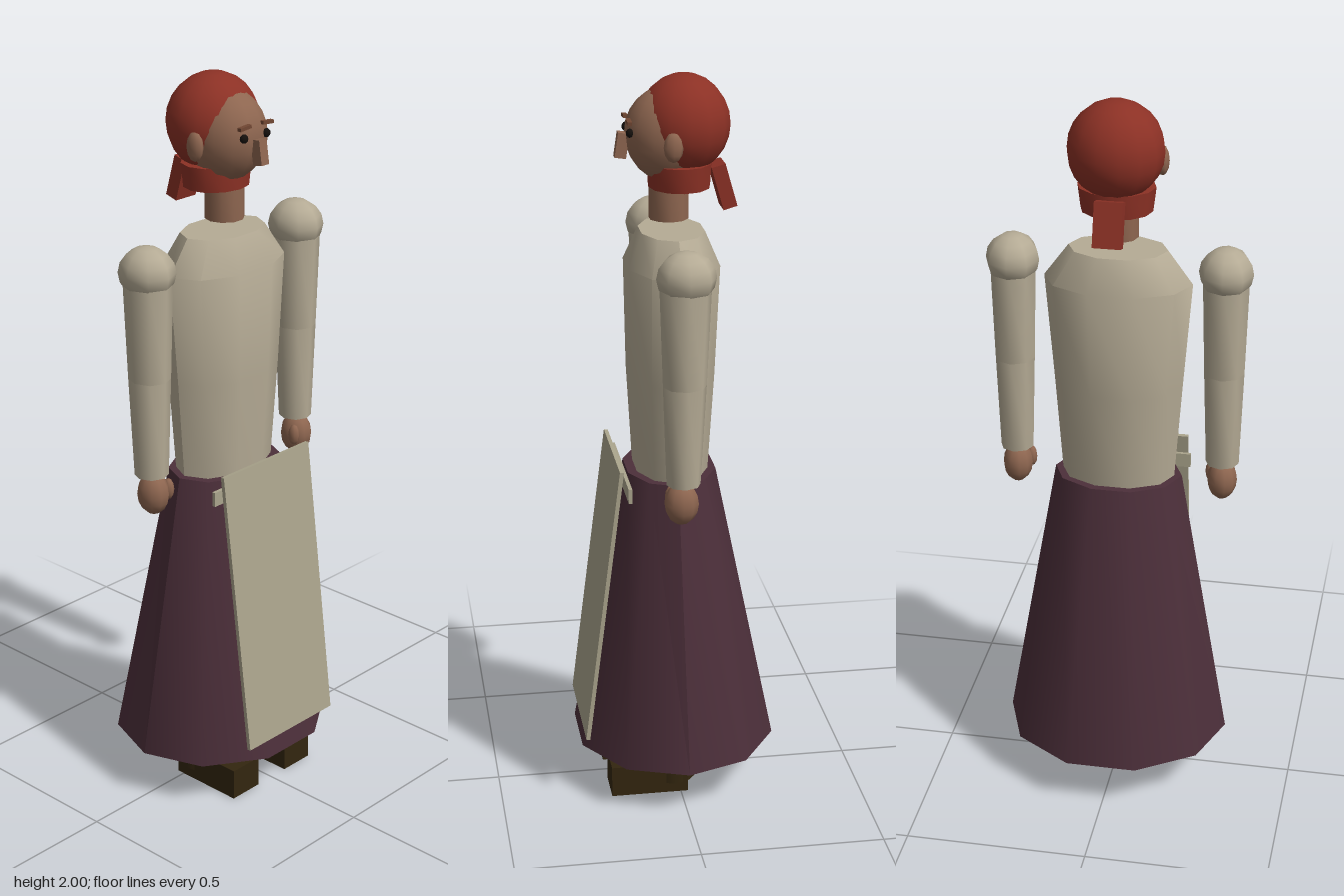
import * as THREE from 'three';
import { toCreasedNormals } from 'three/addons/utils/BufferGeometryUtils.js';

const paint = (name, color) => {
  const m = new THREE.MeshStandardMaterial({ color });
  m.name = name;
  return m;
};

// Stacked elliptical rings [y, radiusX, radiusZ, centreZ], closed at both ends
function rings(levels, sides, crease = 0.75) {
  const points = [new THREE.Vector2(0, 0), ...levels.map((_, i) => new THREE.Vector2(1, i)),
    new THREE.Vector2(0, levels.length - 1)];
  const geo = new THREE.LatheGeometry(points, sides, Math.PI / 2);
  const p = geo.attributes.position;
  for (let i = 0; i < p.count; i++) {
    const [y, rx, rz, cz = 0] = levels[Math.round(p.getY(i))];
    p.setXYZ(i, p.getX(i) * rx, y, p.getZ(i) * rz + cz);
  }
  return toCreasedNormals(geo, crease);
}

const ellipsoid = (rx, ry, rz, w = 12, h = 10) => new THREE.SphereGeometry(1, w, h).scale(rx, ry, rz);
const box = (w, h, d) => new THREE.BoxGeometry(w, h, d);

export function createModel() {
  const linen = paint('linen', 0xb5ab95);
  const apronCloth = paint('apron cloth', 0xaaa48c);
  const wool = paint('plum wool', 0x4c2f3a);
  const leather = paint('dark leather', 0x33260f);
  const skin = paint('skin', 0x8e6650);
  const red = paint('red cloth', 0x8c3125);
  const brown = paint('brow brown', 0x714733);
  const black = paint('eye black', 0x15100d);

  const model = new THREE.Group();
  model.name = 'woman';
  const add = (name, geo, mat, x = 0, y = 0, z = 0, parent = model) => {
    const mesh = new THREE.Mesh(geo, mat);
    mesh.name = name;
    mesh.position.set(x, y, z);
    parent.add(mesh);
    return mesh;
  };

  // Clothing
  add('skirt', rings([[0.135, 0.313, 0.283], [0.93, 0.175, 0.126, 0.01]], 10), wool);
  add('bodice', rings([[0.9, 0.152, 0.1, 0.008], [1.2, 0.174, 0.118, 0.007],
    [1.5, 0.198, 0.127, 0.003], [1.59, 0.132, 0.088, 0.003]], 10), linen);
  const apron = add('apron', box(0.336, 0.792, 0.011), apronCloth, 0, 0.582, 0.211);
  apron.rotation.x = -Math.atan2(0.1, 0.785);
  add('apronBand', box(0.358, 0.04, 0.01), apronCloth, 0, 0.91, 0.14);

  // Arms and feet, mirrored
  for (const side of [-1, 1]) {
    const label = side > 0 ? 'left' : 'right';
    const arm = new THREE.Group();
    arm.name = label + 'Arm';
    arm.position.x = side * 0.284;
    model.add(arm);
    add('shoulder', ellipsoid(0.072, 0.07, 0.078, 8, 8), linen, 0, 1.537, 0.008, arm);
    add('upperSleeve', rings([[1.25, 0.054, 0.057, 0.012], [1.53, 0.062, 0.068, 0.01]], 8, 0.9), linen, 0, 0, 0, arm);
    add('lowerSleeve', rings([[0.98, 0.045, 0.045, 0.015], [1.25, 0.054, 0.057, 0.012]], 8, 0.9), linen, 0, 0, 0, arm);
    add('hand', ellipsoid(0.041, 0.058, 0.046, 10, 8), skin, 0, 0.927, 0.02, arm);
    add('thumb', ellipsoid(0.015, 0.03, 0.017, 8, 6), skin, -side * 0.034, 0.935, 0.042, arm);

    const foot = new THREE.Group();
    foot.name = label + 'Foot';
    foot.position.x = side * 0.106;
    model.add(foot);
    add('bootShaft', rings([[0.028, 0.058, 0.064, 0.018], [0.3, 0.058, 0.064, 0.018]], 10), leather, 0, 0, 0, foot);
    add('shoe', box(0.102, 0.088, 0.215), leather, 0, 0.044, 0.087, foot);
  }

  // Head
  add('neck', rings([[1.62, 0.053, 0.053, 0.01], [1.76, 0.053, 0.053, 0.01]], 10), skin);
  add('head', ellipsoid(0.105, 0.123, 0.113, 14, 12), skin, 0, 1.845, 0.013);
  add('nose', box(0.028, 0.066, 0.03), skin, 0, 1.818, 0.133).rotation.x = -0.15;
  for (const side of [-1, 1]) {
    add('ear', ellipsoid(0.018, 0.04, 0.026, 8, 6), skin, side * 0.113, 1.832, 0.014);
    add('eye', ellipsoid(0.012, 0.012, 0.01, 8, 6), black, side * 0.042, 1.857, 0.117);
    add('brow', box(0.04, 0.009, 0.012), brown, side * 0.042, 1.886, 0.119).rotation.z = -side * 0.08;
  }

  // Headscarf
  add('scarfCap', ellipsoid(0.127, 0.13, 0.121, 14, 12), red, 0, 1.87, -0.03);
  add('scarfWrap', rings([[1.705, 0.095, 0.082, -0.018], [1.77, 0.103, 0.086, -0.018]], 12), red);
  add('scarfTail', box(0.074, 0.118, 0.038), red, 0, 1.705, -0.132).rotation.x = 0.28;

  return model;
}
